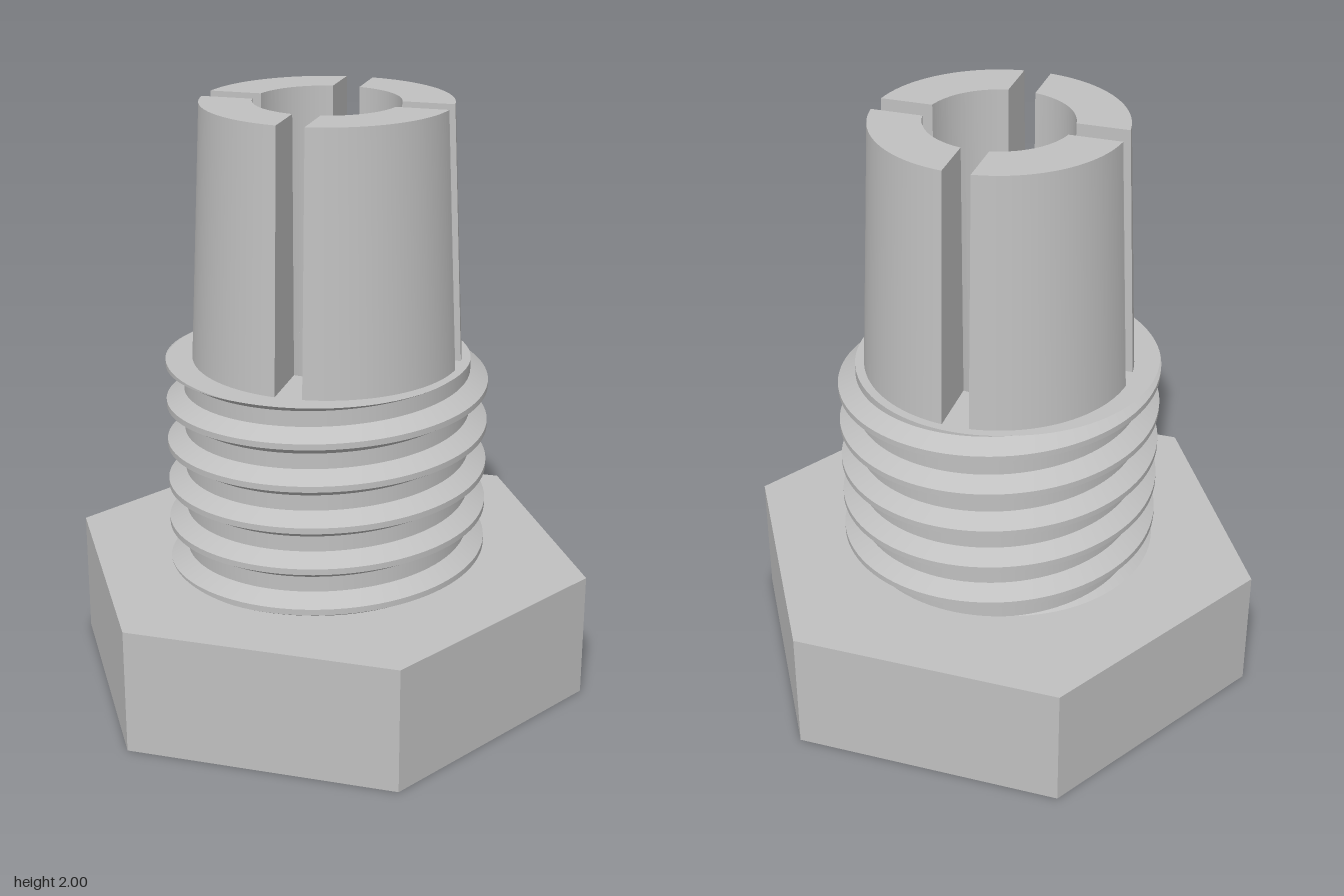
import * as THREE from 'three';
import { toCreasedNormals } from 'three/addons/utils/BufferGeometryUtils.js';

const BORE = 0.24, ROOT = 0.48, CREST = 0.54, LOW = 0.43, HIGH = 1.145, TOP = 2;
const PITCH = 0.143, HALF_ROOT = 0.045, HALF_CREST = 0.01;

// Extrude a plan shape upwards from y = base
function extrudeUp(shape, base, height) {
  return new THREE.ExtrudeGeometry(shape, { depth: height, bevelEnabled: false, curveSegments: 48 })
    .rotateX(-Math.PI / 2).translate(0, base, 0);
}

// Helical ridge swept around y, trimmed flat at both ends of the shank
function threadGeometry() {
  const radiusAt = (d) => THREE.MathUtils.clamp(
    THREE.MathUtils.mapLinear(Math.abs(d), HALF_CREST, HALF_ROOT, CREST, ROOT), ROOT, CREST);
  const offsets = [-HALF_ROOT, -HALF_CREST, HALF_CREST, HALF_ROOT];
  const perTurn = 96, pos = [], index = [];
  const phaseY = 1.055; // ridge height on the +x side
  const first = Math.floor((LOW - HALF_ROOT - phaseY) / PITCH * perTurn);
  const last = Math.ceil((HIGH + HALF_ROOT - phaseY) / PITCH * perTurn);
  for (let s = first; s <= last; s++) {
    const a = s / perTurn * Math.PI * 2, yc = phaseY + PITCH * s / perTurn;
    const section = offsets.map((d) => {
      const y = THREE.MathUtils.clamp(yc + d, LOW, HIGH);
      return [radiusAt(y - yc), y];
    });
    section.unshift([ROOT - 0.02, section[0][1]]);
    section.push([ROOT - 0.02, section[4][1]]);
    for (const [r, y] of section) pos.push(r * Math.cos(a), y, -r * Math.sin(a));
    if (s === last) break;
    for (let j = 0; j < 5; j++) {
      const p = (s - first) * 6 + j, q = p + 6;
      index.push(p, q, q + 1, p, q + 1, p + 1);
    }
  }
  const g = new THREE.BufferGeometry();
  g.setAttribute('position', new THREE.Float32BufferAttribute(pos, 3));
  g.setIndex(index);
  return toCreasedNormals(g, 0.4);
}

// One quarter of the split collet, tapering towards the top
function jawGeometry() {
  const slot = 0.045, outer = 0.45, tip = 0.41;
  const ao = Math.asin(slot / outer), ai = Math.asin(slot / BORE);
  const shape = new THREE.Shape();
  shape.absarc(0, 0, outer, ao, Math.PI / 2 - ao, false);
  shape.absarc(0, 0, BORE, Math.PI / 2 - ai, ai, true);
  const g = extrudeUp(shape, HIGH, TOP - HIGH), p = g.attributes.position;
  for (let i = 0; i < p.count; i++) {
    const x = p.getX(i), z = p.getZ(i);
    if (p.getY(i) > 1.9 && Math.hypot(x, z) > 0.35) {
      p.setX(i, Math.max(slot, x * tip / outer));
      p.setZ(i, Math.min(-slot, z * tip / outer));
    }
  }
  return toCreasedNormals(g, 0.4);
}

export function createModel() {
  const model = new THREE.Group();
  const steel = new THREE.MeshStandardMaterial({ color: 0xc0c0c0 });
  steel.name = 'steel grey';
  const add = (name, geometry) => {
    const mesh = new THREE.Mesh(geometry, steel);
    mesh.name = name;
    model.add(mesh);
    return mesh;
  };

  // Hexagonal head with a through bore
  const hex = new THREE.Shape();
  for (let i = 0; i < 6; i++) {
    const a = i * Math.PI / 3, x = 0.905 * Math.cos(a), y = 0.905 * Math.sin(a);
    if (i) hex.lineTo(x, y); else hex.moveTo(x, y);
  }
  hex.closePath();
  hex.holes.push(new THREE.Path().absarc(0, 0, BORE, 0, Math.PI * 2, true));
  add('hexHead', toCreasedNormals(extrudeUp(hex, 0, LOW), 0.4));

  // Hollow shank and its thread
  const profile = [[ROOT, LOW], [ROOT, HIGH], [BORE, HIGH], [BORE, LOW]]
    .map(([r, y]) => new THREE.Vector2(r, y));
  add('shank', toCreasedNormals(new THREE.LatheGeometry(profile, 96), 0.4));
  add('thread', threadGeometry());

  // Four collet jaws separated by crossed slots
  const jaw = jawGeometry();
  for (let i = 0; i < 4; i++) add('colletJaw' + (i + 1), jaw).rotation.y = i * Math.PI / 2;

  return model;
}
